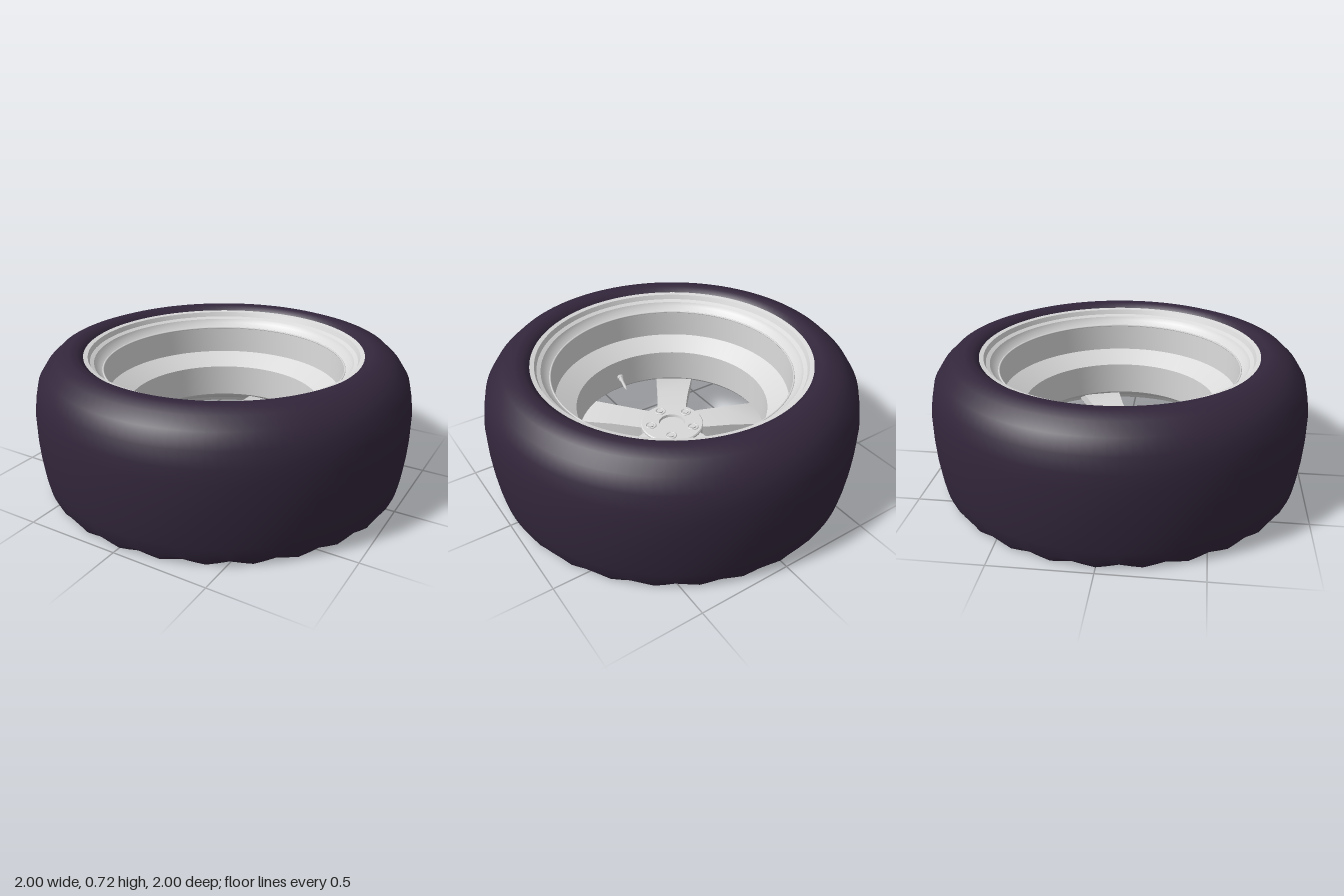
import * as THREE from 'three';
import { toCreasedNormals } from 'three/addons/utils/BufferGeometryUtils.js';

export function createModel() {
  const rubber = new THREE.MeshStandardMaterial({ color: 0x32263b, side: THREE.DoubleSide });
  rubber.name = 'dark rubber';
  const alloy = new THREE.MeshStandardMaterial({ color: 0xd8d8d8, side: THREE.DoubleSide });
  alloy.name = 'light alloy';

  const wheel = new THREE.Group();
  wheel.name = 'wheel';
  const add = (name, geometry, material, parent = wheel) => {
    const mesh = new THREE.Mesh(geometry, material);
    mesh.name = name;
    parent.add(mesh);
    return mesh;
  };
  const lathe = (points, segments) =>
    new THREE.LatheGeometry(points.map(([r, y]) => new THREE.Vector2(r, y)), segments);

  // Tire: dished lower sidewall, rounded upper shoulder, scalloped lower edge
  const SEGMENTS = 112, SCALLOPS = 28, EDGE = 3;
  const tireGeo = lathe([
    [0.7, 0.14], [0.73, 0.105], [0.9, 0.035], [0.955, 0.0], [0.97, 0.035], [0.982, 0.1],
    [0.994, 0.2], [1, 0.3], [1, 0.43], [0.99, 0.5], [0.972, 0.58], [0.93, 0.645],
    [0.875, 0.697], [0.81, 0.72], [0.77, 0.718], [0.738, 0.695], [0.72, 0.66]], SEGMENTS);
  const pos = tireGeo.attributes.position;
  const ringSize = pos.count / (SEGMENTS + 1);
  for (let i = 0; i <= SEGMENTS; i++) {
    const wave = 0.5 - 0.5 * Math.cos((i / SEGMENTS) * SCALLOPS * Math.PI * 2);
    pos.setY(i * ringSize + EDGE, 0.02 * wave);
  }
  add('tire', toCreasedNormals(tireGeo, 0.6), rubber);

  // Rim: stepped lip, drop wall, shelf, inner barrel and flared outer face
  const rimGeo = lathe([
    [0.738, 0.695], [0.715, 0.69], [0.705, 0.665], [0.685, 0.655], [0.675, 0.635], [0.647, 0.613],
    [0.638, 0.608], [0.63, 0.463], [0.52, 0.4], [0.517, 0.22], [0.53, 0.205],
    [0.69, 0.125], [0.705, 0.1], [0.735, 0.1], [0.74, 0.13]], 96);
  add('rim', toCreasedNormals(rimGeo, 0.5), alloy);
  const seam = add('rimBead', new THREE.TorusGeometry(0.641, 0.005, 6, 96), alloy);
  seam.rotation.x = Math.PI / 2;
  seam.position.y = 0.611;

  // Spoke lofted outward along -z from [radius, half width, top, side edge, ridge]
  const spokeSections = [
    [0.1, 0.07, 0.24, 0.17, 0.135], [0.18, 0.083, 0.24, 0.165, 0.125], [0.32, 0.09, 0.23, 0.155, 0.115],
    [0.52, 0.108, 0.21, 0.15, 0.105], [0.66, 0.112, 0.14, 0.12, 0.09], [0.73, 0.112, 0.115, 0.1, 0.085]];
  const verts = [], index = [], N = 6;
  spokeSections.forEach(([r, w, top, side, ridge], i) => {
    const ring = [[-w, top], [w, top], [w, side], [w * 0.6, ridge], [-w * 0.75, ridge], [-w, side]];
    ring.forEach(([x, y]) => verts.push(x - 0.01, y, -r));
    if (i === 0) return;
    for (let j = 0; j < N; j++) {
      const a = (i - 1) * N + j, b = (i - 1) * N + (j + 1) % N;
      index.push(a, b, b + N, a, b + N, a + N);
    }
  });
  const last = (spokeSections.length - 1) * N;
  for (let k = 1; k < N - 1; k++) index.push(last, last + k, last + k + 1);
  const spokeRaw = new THREE.BufferGeometry();
  spokeRaw.setAttribute('position', new THREE.Float32BufferAttribute(verts, 3));
  spokeRaw.setIndex(index);
  const spokeGeo = toCreasedNormals(spokeRaw, 0.45);

  // Hub with a recessed underside and a shallow centre bore
  const hubGeo = lathe([
    [0, 0.145], [0.06, 0.145], [0.065, 0.13], [0.145, 0.135], [0.17, 0.16], [0.175, 0.25],
    [0.17, 0.255], [0.073, 0.255], [0.07, 0.24], [0, 0.24]], 48);
  add('hub', toCreasedNormals(hubGeo, 0.5), alloy);
  add('centreCap', new THREE.CylinderGeometry(0.055, 0.05, 0.025, 32), alloy).position.y = 0.138;

  // Five spokes, with lug nuts set between them
  const boltGeo = new THREE.CylinderGeometry(0.018, 0.018, 0.142, 6);
  const collarGeo = new THREE.TorusGeometry(0.027, 0.005, 8, 24).rotateX(Math.PI / 2);
  for (let i = 0; i < 5; i++) {
    const arm = new THREE.Group();
    arm.name = 'spokeArm';
    arm.rotation.y = (i / 5) * Math.PI * 2;
    add('spoke', spokeGeo, alloy, arm);
    const lug = new THREE.Group();
    lug.name = 'lugNut';
    lug.rotation.y = Math.PI / 5;
    add('lugBolt', boltGeo, alloy, lug).position.set(0, 0.19, -0.123);
    for (const y of [0.131, 0.255]) add('lugCollar', collarGeo, alloy, lug).position.set(0, y, -0.123);
    arm.add(lug);
    wheel.add(arm);
  }

  // Valve stem leaning in from the barrel
  const valve = new THREE.Group();
  valve.name = 'valve';
  valve.position.set(0.035, 0.3, 0.52);
  valve.rotation.x = -2.2;
  add('valveStem', lathe([[0.016, 0], [0.014, 0.03], [0.009, 0.04], [0.009, 0.08], [0.004, 0.1], [0, 0.1]], 16), alloy, valve);
  add('valveNut', new THREE.CylinderGeometry(0.02, 0.02, 0.012, 6), alloy, valve).position.y = 0.01;
  wheel.add(valve);

  return wheel;
}
